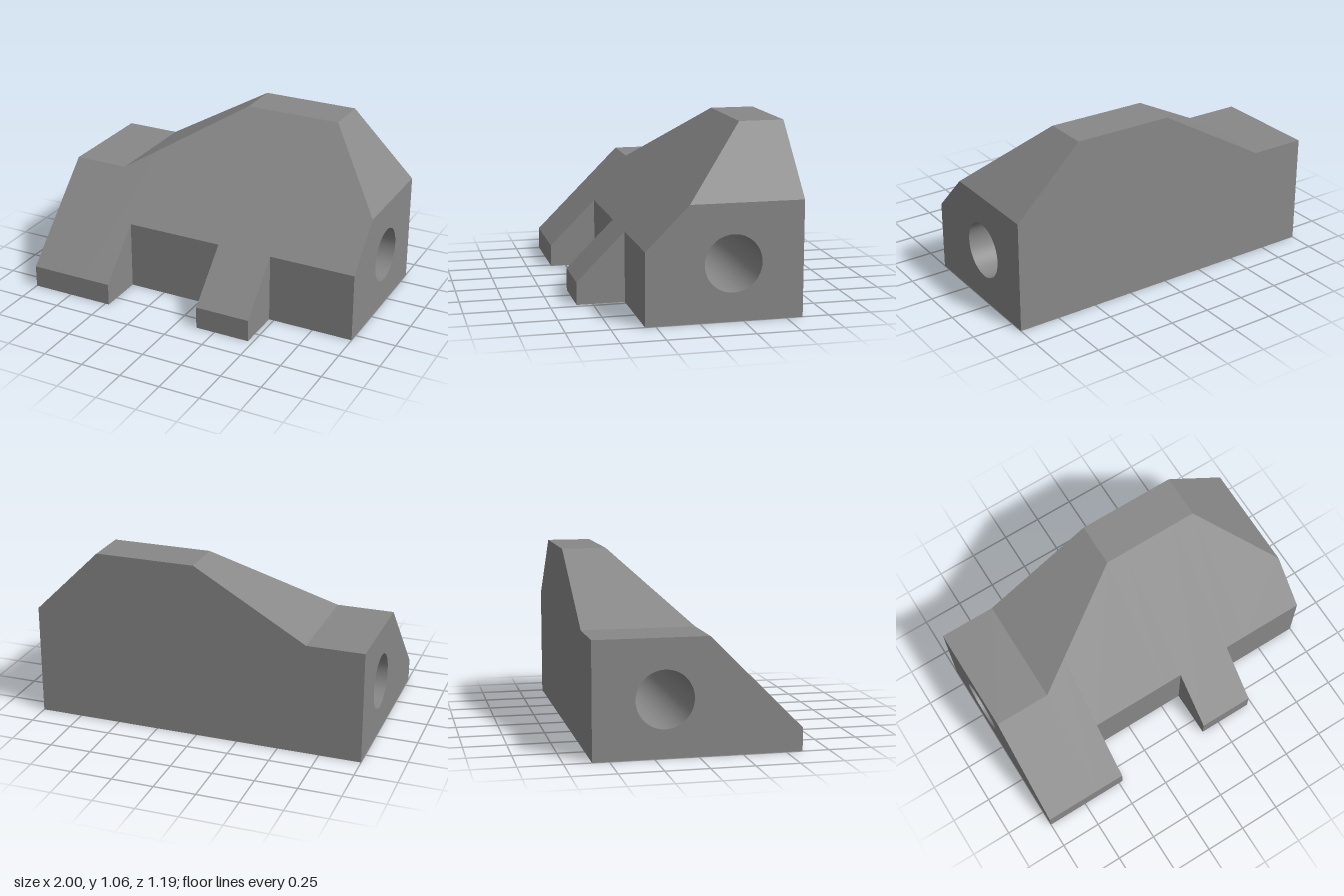
import * as THREE from 'three';

const BACK = -0.595, WALL = 0.31, FOOT = 0.595, SLOPE = 0.73; // 45 degree front: y + z = SLOPE
const HOLE = { z: -0.19, y: 0.33, r: 0.165 };

// Height of the roof line along x
const ROOF = [[-1, 0.67], [-0.66, 0.67], [0.01, 1.06], [0.605, 1.06], [1, 0.67]];
function roofHeight(x) {
  const i = Math.max(1, ROOF.findIndex(([rx]) => x <= rx));
  const [x0, y0] = ROOF[i - 1], [x1, y1] = ROOF[i];
  return y0 + (y1 - y0) * (x - x0) / (x1 - x0);
}

// Cross-section as [z, y], with its lower front at the given z
function section(x, front) {
  const h = roofHeight(x);
  return [[BACK, 0], [front, 0], [front, SLOPE - front], [SLOPE - h, h], [BACK, h]];
}

// Loft through the sections; two sections at one x make the side wall of a foot
function bodyGeometry() {
  const stations = [
    [-1, FOOT], [-0.66, FOOT], [-0.475, FOOT], [-0.475, WALL], [0.01, WALL],
    [0.13, WALL], [0.13, FOOT], [0.47, FOOT], [0.47, WALL], [0.605, WALL], [1, WALL],
  ];
  const rings = stations.map(([x, f]) => section(x, f).map(([z, y]) => [x, y, z]));
  const pos = [];
  for (let i = 0; i + 1 < rings.length; i++) {
    const a = rings[i], b = rings[i + 1];
    const isStep = stations[i][0] === stations[i + 1][0];
    for (let j = 0; j < 5; j++) {
      if (isStep && j !== 1) continue;
      const k = (j + 1) % 5;
      pos.push(...a[j], ...b[j], ...b[k], ...a[j], ...b[k], ...a[k]);
    }
  }
  const geo = new THREE.BufferGeometry();
  geo.setAttribute('position', new THREE.Float32BufferAttribute(pos, 3));
  geo.computeVertexNormals();
  return geo;
}

// Flat end wall with the round opening
function endGeometry(side, front) {
  const shape = new THREE.Shape(section(side, front).map(([z, y]) => new THREE.Vector2(-side * z, y)));
  const opening = new THREE.Path();
  opening.absarc(-side * HOLE.z, HOLE.y, HOLE.r, 0, Math.PI * 2, true);
  shape.holes.push(opening);
  return new THREE.ShapeGeometry(shape, 24).rotateY(side * Math.PI / 2).translate(side, 0, 0);
}

export function createModel() {
  const group = new THREE.Group();
  group.name = 'drilledBlock';
  const grey = new THREE.MeshStandardMaterial({ color: 0x888888 });
  grey.name = 'grey';

  const add = (name, geo) => {
    const mesh = new THREE.Mesh(geo, grey);
    mesh.name = name;
    group.add(mesh);
  };

  add('bodyAndFeet', bodyGeometry());
  add('leftEnd', endGeometry(1, WALL));
  add('rightEnd', endGeometry(-1, FOOT));

  // Bore along x, facing inwards
  const bore = new THREE.LatheGeometry([new THREE.Vector2(HOLE.r, 1), new THREE.Vector2(HOLE.r, -1)], 48);
  add('bore', bore.rotateZ(Math.PI / 2).translate(0, HOLE.y, HOLE.z));

  return group;
}
